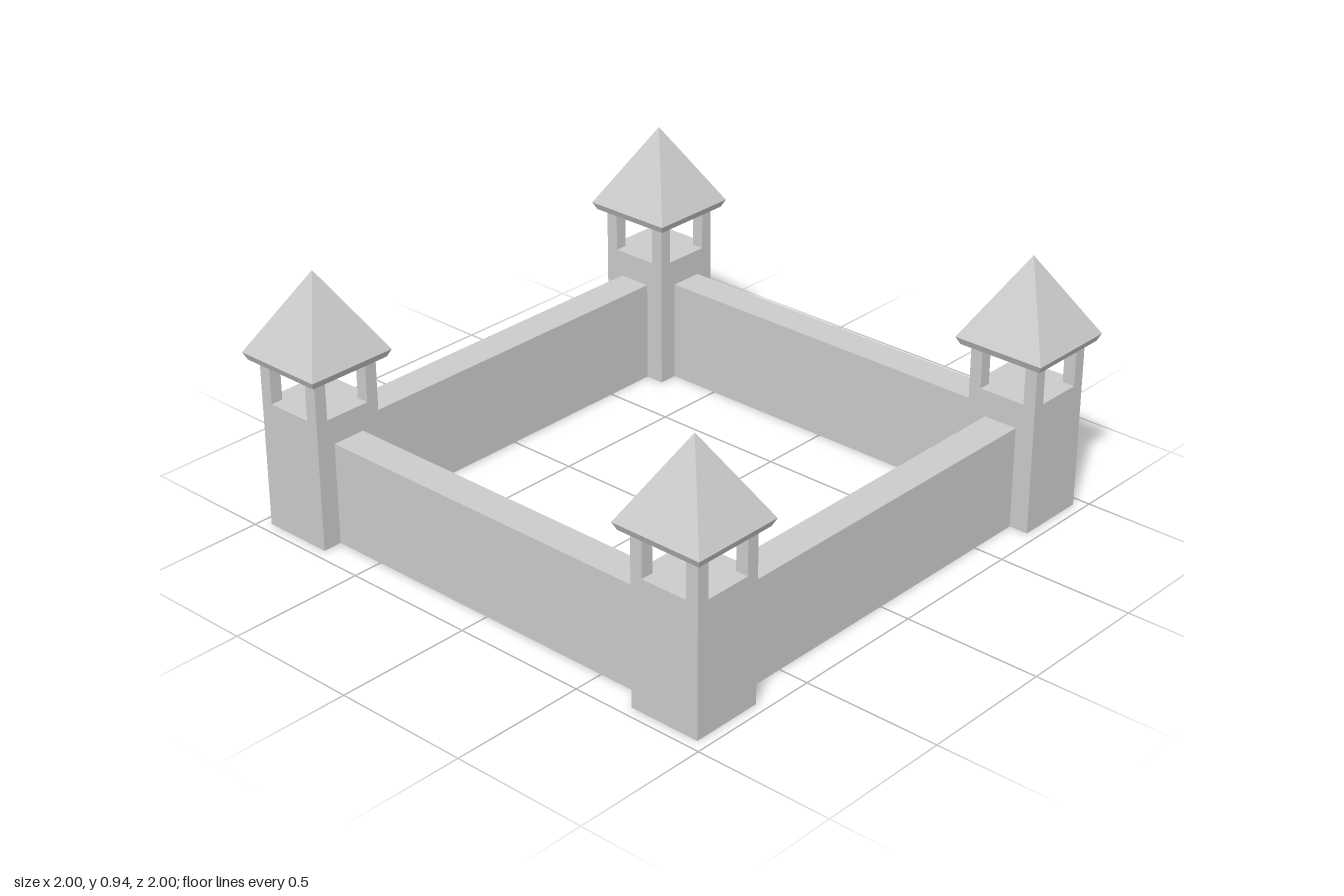
import * as THREE from 'three';

const material = new THREE.MeshStandardMaterial({ color: 0xcccccc, flatShading: true });

const CENTRE = 0.8275;      // distance of tower and wall axes from the middle
const TOWER = 0.267;        // tower width
const POST = 0.046;         // lantern post width
const SILL = 0.47;          // bottom of the lantern openings
const EAVE = 0.62;          // underside of the roof
const WALL_HEIGHT = 0.374;
const WALL_THICKNESS = 0.125;

function addMesh(parent, name, geometry, x, y, z) {
  const mesh = new THREE.Mesh(geometry, material);
  mesh.name = name;
  mesh.position.set(x, y, z);
  parent.add(mesh);
  return mesh;
}

// Square frustum given by its half widths
function squareFrustum(top, bottom, height) {
  const geometry = new THREE.CylinderGeometry(top * Math.SQRT2, bottom * Math.SQRT2, height, 4);
  return geometry.rotateY(Math.PI / 4);
}

function createTower() {
  const tower = new THREE.Group();
  tower.name = 'tower';
  addMesh(tower, 'shaft', new THREE.BoxGeometry(TOWER, SILL, TOWER), 0, SILL / 2, 0);

  // Open lantern with four corner posts
  const offset = (TOWER - POST) / 2;
  const postHeight = EAVE - SILL;
  for (const sx of [-1, 1]) {
    for (const sz of [-1, 1]) {
      addMesh(tower, 'lanternPost', new THREE.BoxGeometry(POST, postHeight, POST),
        sx * offset, SILL + postHeight / 2, sz * offset);
    }
  }

  // Flared eave and pyramid roof
  addMesh(tower, 'eave', squareFrustum(0.1725, 0.16, 0.027), 0, EAVE + 0.0135, 0);
  const roof = new THREE.ConeGeometry(0.1725 * Math.SQRT2, 0.29, 4, 1, true).rotateY(Math.PI / 4);
  addMesh(tower, 'roof', roof, 0, EAVE + 0.027 + 0.145, 0);
  return tower;
}

export function createModel() {
  const model = new THREE.Group();
  model.name = 'walledCourtyard';

  // A tower at each corner
  for (const sx of [-1, 1]) {
    for (const sz of [-1, 1]) {
      const tower = createTower();
      tower.position.set(sx * CENTRE, 0, sz * CENTRE);
      model.add(tower);
    }
  }

  // Four walls running between the towers
  const length = 2 * CENTRE - TOWER;
  ['frontWall', 'leftWall', 'backWall', 'rightWall'].forEach((name, i) => {
    const angle = i * Math.PI / 2;
    const wall = addMesh(model, name, new THREE.BoxGeometry(length, WALL_HEIGHT, WALL_THICKNESS),
      Math.sin(angle) * CENTRE, WALL_HEIGHT / 2, Math.cos(angle) * CENTRE);
    wall.rotation.y = angle;
  });
  return model;
}
